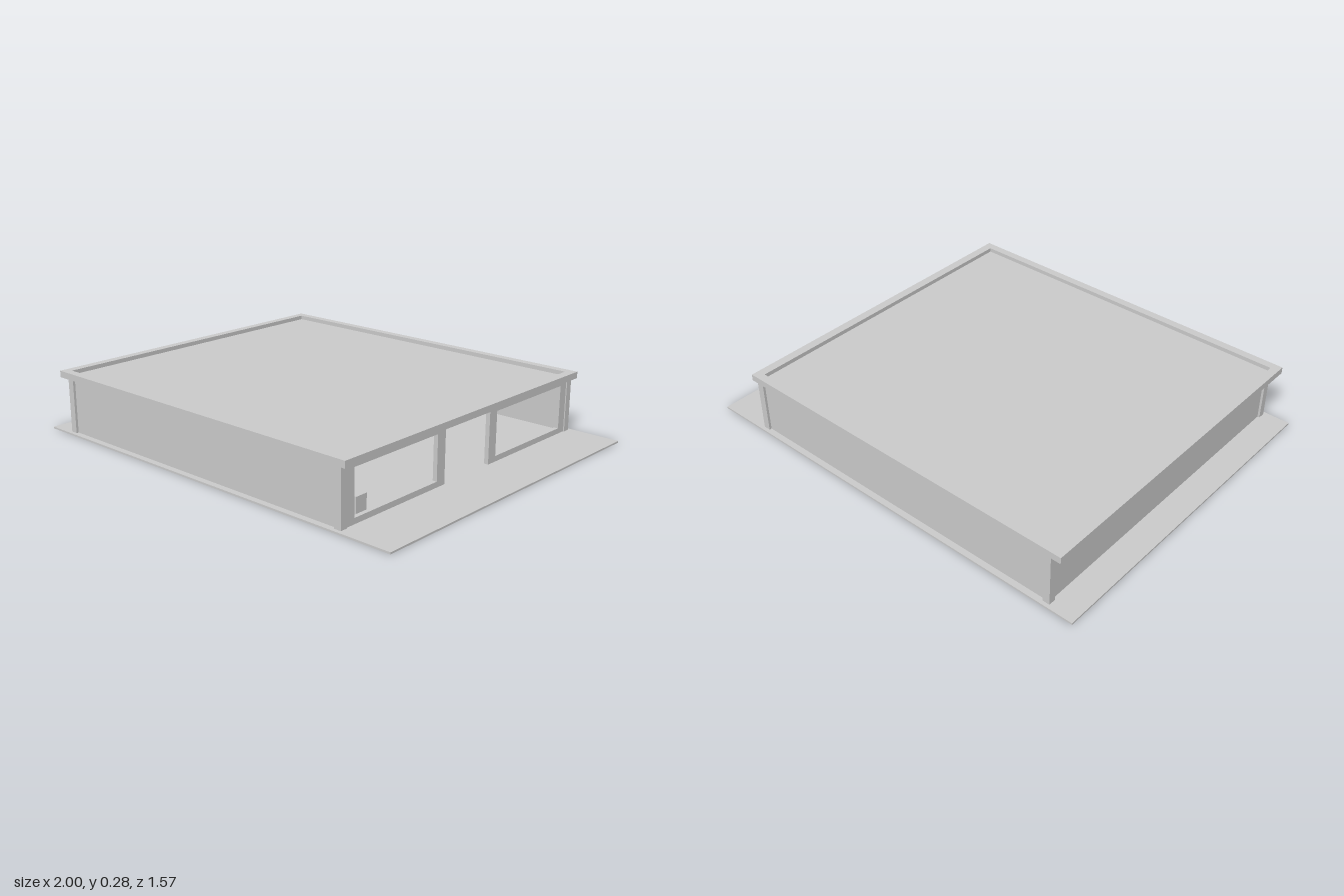
import * as THREE from 'three';

const grey = new THREE.MeshStandardMaterial({ color: 0xcccccc, flatShading: true });
const olive = new THREE.MeshStandardMaterial({ color: 0x8f9a4f, flatShading: true });

// Box given by its minimum and maximum along each axis
function box(parent, name, [x0, x1], [y0, y1], [z0, z1]) {
  const mesh = new THREE.Mesh(new THREE.BoxGeometry(x1 - x0, y1 - y0, z1 - z0), grey);
  mesh.name = name;
  mesh.position.set((x0 + x1) / 2, (y0 + y1) / 2, (z0 + z1) / 2);
  parent.add(mesh);
  return mesh;
}

function rectPoints(x0, x1, y0, y1) {
  return [[x0, y0], [x1, y0], [x1, y1], [x0, y1]].map(([x, y]) => new THREE.Vector2(x, y));
}

// Rectangular frame with a rectangular hole, extruded along its local z
function frameGeometry(outer, inner, depth) {
  const shape = new THREE.Shape(rectPoints(...outer));
  shape.holes.push(new THREE.Path(rectPoints(...inner).reverse()));
  return new THREE.ExtrudeGeometry(shape, { depth, bevelEnabled: false });
}

export function createModel() {
  const model = new THREE.Group();
  model.name = 'pavilion';
  const base = 0.008, eave = 0.255, top = 0.285;

  // Thin ground slab with an apron on the entrance side
  box(model, 'groundSlab', [-1, 1], [0, base], [-0.785, 0.785]);

  // Corner posts
  for (const z of [-0.768, 0.735]) {
    for (const x of [-0.88, 0.722]) {
      box(model, 'cornerPost', [x, x + 0.033], [base, eave], [z, z + 0.033]);
    }
  }

  // Solid walls, slightly recessed between the posts
  box(model, 'backWall', [-0.85, 0.725], [base, eave], [-0.757, -0.743]);
  box(model, 'frontWall', [-0.85, 0.725], [base, eave], [0.743, 0.757]);
  box(model, 'closedSideWall', [-0.87, -0.856], [base, eave], [-0.737, 0.737]);

  // Two open window frames with the doorway between them
  for (const side of [-1, 1]) {
    const frame = new THREE.Mesh(
      frameGeometry([-0.2925, 0.2925, base, eave], [-0.2475, 0.2425, 0.033, 0.231], 0.02), grey);
    frame.name = 'windowFrame';
    frame.rotation.y = side * Math.PI / 2;
    frame.position.set(side > 0 ? 0.73 : 0.75, 0, side * 0.4425);
    model.add(frame);
  }

  // Roof deck and raised rim
  box(model, 'roofDeck', [-0.9, 0.75], [eave, 0.266], [-0.745, 0.745]);
  const rim = new THREE.Mesh(
    frameGeometry([-0.93, 0.78, -0.775, 0.775], [-0.892, 0.739, -0.738, 0.738], top - eave), grey);
  rim.name = 'roofRim';
  rim.rotation.x = -Math.PI / 2;
  rim.position.y = eave;
  model.add(rim);

  // Shelves along the inside of the long walls
  for (const y of [0.107, 0.166]) {
    box(model, 'shelf', [-0.5, 0.4], [y - 0.002, y + 0.002], [0.67, 0.744]);
    box(model, 'shelf', [-0.5, 0.4], [y - 0.002, y + 0.002], [-0.744, -0.67]);
  }

  // Gabled huts inside the hall
  const gable = new THREE.Shape([[-0.095, 0], [0.095, 0], [0.095, 0.067], [0, 0.132], [-0.095, 0.067]]
    .map(([x, y]) => new THREE.Vector2(x, y)));
  for (const z of [-0.247, 0.25]) {
    const hut = new THREE.Mesh(
      new THREE.ExtrudeGeometry(gable, { depth: 0.25, bevelEnabled: false }), olive);
    hut.name = 'gabledHut';
    hut.rotation.y = Math.PI / 2;
    hut.position.set(-0.1, base, z);
    model.add(hut);
  }

  // Small cabinet with pointed knobs by the window
  box(model, 'cabinet', [0.66, 0.71], [base, 0.088], [0.575, 0.635]);
  for (const y of [0.02, 0.048, 0.076]) {
    const knob = new THREE.Mesh(new THREE.ConeGeometry(0.009, 0.018, 8), grey);
    knob.name = 'cabinetKnob';
    knob.rotation.x = -Math.PI / 2;
    knob.position.set(0.685, y, 0.567);
    model.add(knob);
  }
  return model;
}
